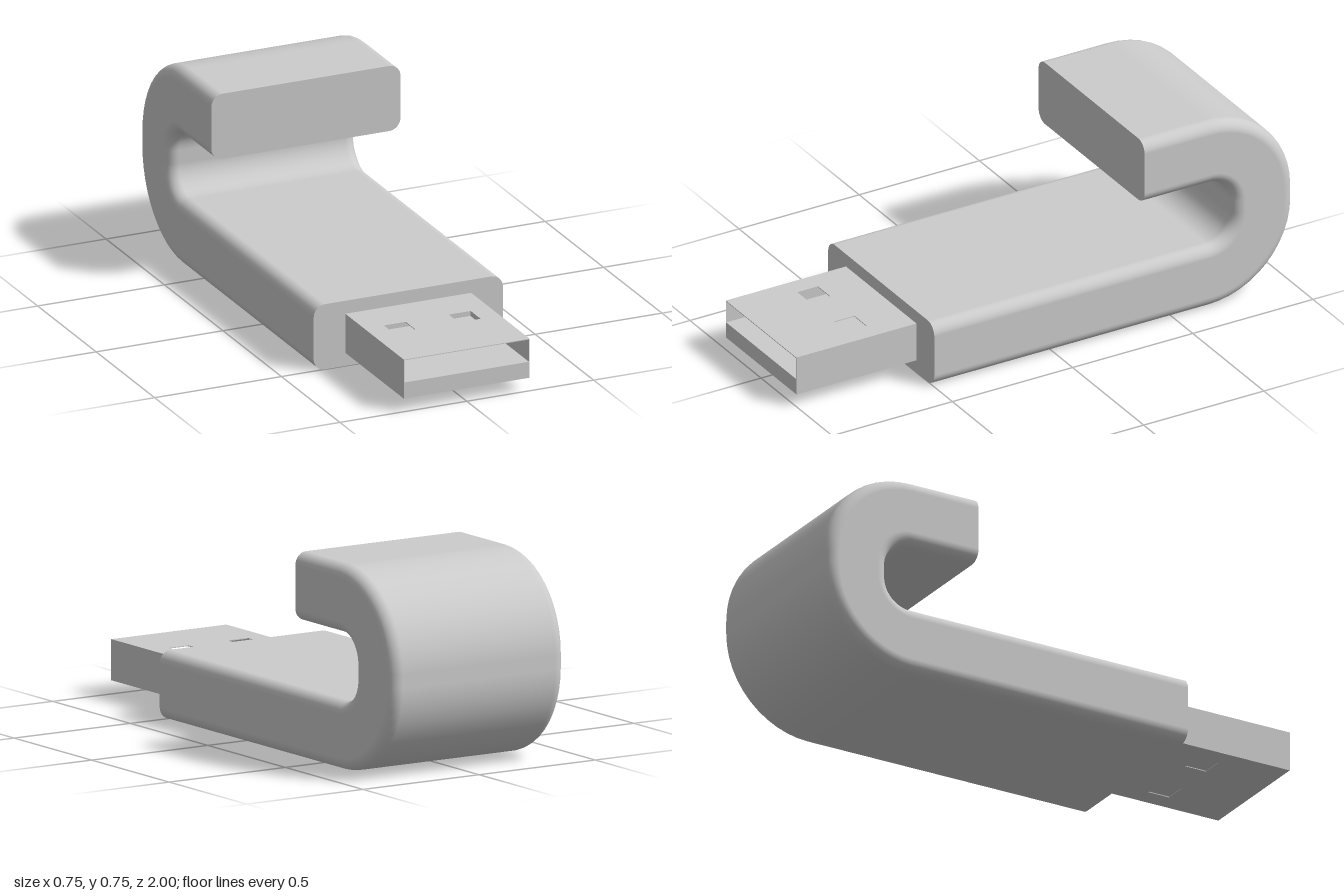
import * as THREE from 'three';

const material = new THREE.MeshStandardMaterial({ color: 0xcccccc });

function add(parent, geometry, name, x = 0, y = 0, z = 0) {
  const mesh = new THREE.Mesh(geometry, material);
  mesh.name = name;
  mesh.position.set(x, y, z);
  parent.add(mesh);
  return mesh;
}

// Rounded-rectangle section, counter-clockwise, each point with its normal
function roundedSection(halfW, halfH, r, steps) {
  const points = [];
  const corners = [[1, 1], [-1, 1], [-1, -1], [1, -1]];
  corners.forEach(([sx, sy], k) => {
    for (let i = 0; i <= steps; i++) {
      const a = (k + i / steps) * Math.PI / 2;
      const nx = Math.cos(a), ny = Math.sin(a);
      points.push({ x: sx * (halfW - r) + r * nx, y: sy * (halfH - r) + r * ny, nx, ny });
    }
  });
  return points;
}

// Centre line of the hook: two quarter bends joined by straight runs
function hookPath() {
  const bendZ = -0.65, bendR = 0.225, steps = 12;
  const path = [{ y: 0.125, z: 0.5, a: 0 }];
  [0.35, 0.4].forEach((cy, k) => {
    for (let i = 0; i <= steps; i++) {
      const a = (k + i / steps) * Math.PI / 2;
      path.push({ y: cy - bendR * Math.cos(a), z: bendZ - bendR * Math.sin(a), a });
    }
  });
  path.push({ y: 0.625, z: -0.375, a: Math.PI });
  return path;
}

function sweep(section, path) {
  const positions = [], normals = [], index = [], n = section.length;
  path.forEach(({ y, z, a }, i) => {
    const oy = -Math.cos(a), oz = -Math.sin(a); // outward side of the bend
    section.forEach((p, j) => {
      positions.push(p.x, y + p.y * oy, z + p.y * oz);
      normals.push(p.nx, p.ny * oy, p.ny * oz);
      if (i === path.length - 1) return;
      const k = (j + 1) % n, q = i * n;
      index.push(q + j, q + k, q + n + k, q + j, q + n + k, q + n + j);
    });
  });
  const geometry = new THREE.BufferGeometry();
  geometry.setAttribute('position', new THREE.Float32BufferAttribute(positions, 3));
  geometry.setAttribute('normal', new THREE.Float32BufferAttribute(normals, 3));
  geometry.setIndex(index);
  return geometry;
}

function rectangle(PathType, x0, y0, x1, y1) {
  return new PathType([[x0, y0], [x1, y0], [x1, y1], [x0, y1]].map(([x, y]) => new THREE.Vector2(x, y)));
}

export function createModel() {
  const model = new THREE.Group();
  model.name = 'hookedDrive';

  // Hooked body with flat ends
  const body = new THREE.Group();
  body.name = 'body';
  model.add(body);
  const section = roundedSection(0.373, 0.125, 0.045, 8);
  add(body, sweep(section, hookPath()), 'hookedCase');
  const cap = new THREE.ShapeGeometry(new THREE.Shape(section.map(p => new THREE.Vector2(p.x, p.y))));
  add(body, cap, 'lowerEnd', 0, 0.125, 0.5);
  add(body, cap, 'upperEnd', 0, 0.625, -0.375);

  // Plug: thin metal sleeve with two windows above and below
  const plug = new THREE.Group();
  plug.name = 'plug';
  model.add(plug);
  const halfW = 0.248, wall = 0.003, bottom = 0.05, top = 0.2;
  const plate = rectangle(THREE.Shape, -halfW, -1, halfW, -0.5);
  for (const side of [-1, 1]) {
    const cx = side * 0.128;
    plate.holes.push(rectangle(THREE.Path, cx - 0.043, -0.748, cx + 0.043, -0.662));
  }
  const plateGeometry = new THREE.ExtrudeGeometry(plate, { depth: wall, bevelEnabled: false });
  plateGeometry.rotateX(-Math.PI / 2);
  add(plug, plateGeometry, 'sleeveTop', 0, top - wall, 0);
  add(plug, plateGeometry, 'sleeveBottom', 0, bottom, 0);
  const sideGeometry = new THREE.BoxGeometry(wall, top - bottom - 2 * wall, 0.5);
  for (const side of [-1, 1]) {
    add(plug, sideGeometry, side > 0 ? 'sleeveLeft' : 'sleeveRight',
      side * (halfW - wall / 2), (top + bottom) / 2, 0.75);
  }

  // Contact tongue filling the lower part of the sleeve
  const tongueTop = 0.112, tongueBottom = bottom + wall;
  add(plug, new THREE.BoxGeometry(2 * (halfW - wall), tongueTop - tongueBottom, 0.5),
    'contactTongue', 0, (tongueTop + tongueBottom) / 2, 0.75);

  return model;
}
